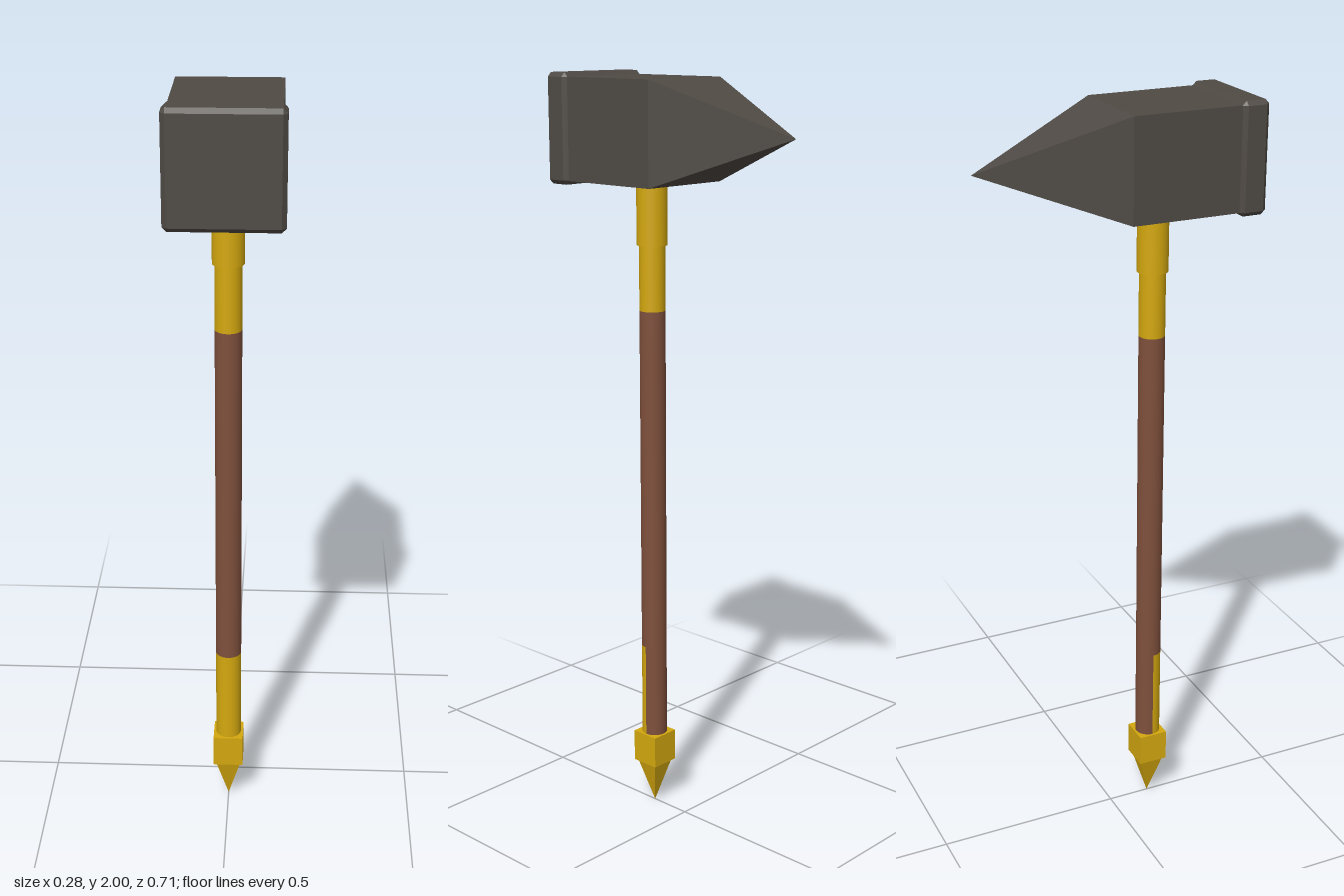
import * as THREE from 'three';
import { ConvexGeometry } from 'three/addons/geometries/ConvexGeometry.js';

const material = (name, color) => Object.assign(new THREE.MeshStandardMaterial({ color }), { name });

// Corner points of a w x h x d box whose edges are all chamfered by c
function chamferedBox(w, h, d, c) {
  const points = [];
  for (const sx of [-1, 1]) for (const sy of [-1, 1]) for (const sz of [-1, 1]) {
    const x = w / 2, y = h / 2, z = d / 2;
    points.push(
      new THREE.Vector3(sx * x, sy * (y - c), sz * (z - c)),
      new THREE.Vector3(sx * (x - c), sy * y, sz * (z - c)),
      new THREE.Vector3(sx * (x - c), sy * (y - c), sz * z));
  }
  return new ConvexGeometry(points);
}

export function createModel() {
  const iron = material('dark iron', 0x4f4a44);
  const gold = material('gold', 0xd4a80f);
  const wood = material('brown wood', 0x7f503c);

  const model = new THREE.Group();
  model.name = 'warHammer';
  const add = (parent, name, geometry, mat, x = 0, y = 0, z = 0) => {
    const mesh = new THREE.Mesh(geometry, mat);
    mesh.name = name;
    mesh.position.set(x, y, z);
    parent.add(mesh);
    return mesh;
  };

  // Head: square block tapering to a rear spike, with a chamfered striking plate
  const head = new THREE.Group();
  head.name = 'head';
  head.position.y = 1.86;
  model.add(head);
  const s = 0.13, corners = [new THREE.Vector3(0, 0, -0.355)];
  for (const x of [-s, s]) for (const y of [-s, s]) for (const z of [0, 0.3]) {
    corners.push(new THREE.Vector3(x, y, z));
  }
  add(head, 'spikedBlock', new ConvexGeometry(corners), iron);
  add(head, 'strikingPlate', chamferedBox(0.28, 0.28, 0.072, 0.011), iron, 0, 0, 0.319);

  // Handle: stacked round sections on one axis
  const handle = new THREE.Group();
  handle.name = 'handle';
  handle.position.z = 0.115;
  model.add(handle);
  const rod = (name, r, y0, y1, mat, open = false, start = 0, sweep = Math.PI * 2) =>
    add(handle, name, new THREE.CylinderGeometry(r, r, y1 - y0, sweep < 6 ? 16 : 32, 1, open, start, sweep),
      mat, 0, (y0 + y1) / 2, 0);
  rod('collar', 0.04, 1.57, 1.74, gold);
  rod('upperSleeve', 0.034, 1.4, 1.57, gold);
  rod('shaft', 0.034, 0.47, 1.4, wood);
  rod('lowerSleeveFront', 0.034, 0.21, 0.47, gold, true, -Math.PI / 2, Math.PI);
  rod('lowerShaftBack', 0.034, 0.21, 0.47, wood, true, Math.PI / 2, Math.PI);

  // Pommel: square block with a four-sided point below
  add(handle, 'pommelBlock', new THREE.BoxGeometry(0.08, 0.088, 0.08), gold, 0, 0.168, 0);
  const point = new THREE.ConeGeometry(0.033 * Math.SQRT2, 0.124, 4).rotateY(Math.PI / 4).rotateX(Math.PI).toNonIndexed();
  point.computeVertexNormals();
  add(handle, 'pommelPoint', point, gold, 0, 0.062, 0);

  return model;
}
